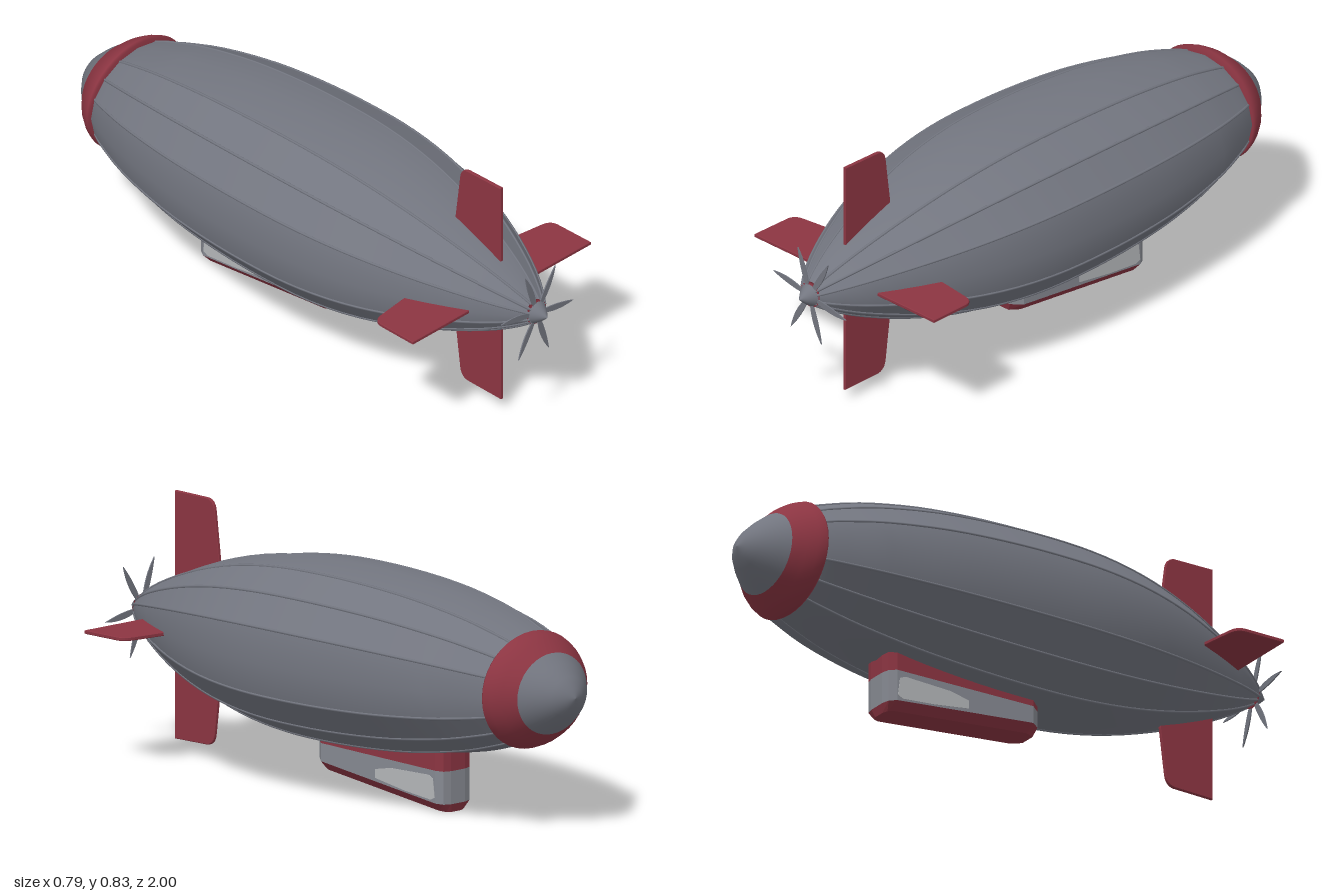
import * as THREE from 'three';
import { mergeGeometries } from 'three/addons/utils/BufferGeometryUtils.js';

const mat = (name, color, extra = {}) => {
  const m = new THREE.MeshStandardMaterial({ color, ...extra });
  m.name = name;
  return m;
};

export function createModel() {
  const grey = mat('hull grey', 0x737680);
  const red = mat('dark red', 0x8c3542);
  const cabinGrey = mat('cabin grey', 0x868991);
  const glass = mat('window light grey', 0xb4b6b9);

  const model = new THREE.Group();
  model.name = 'airship';
  const AXIS = 0.445, FLAT = 0.814; // axis height, height-to-width ratio of the hull

  const add = (name, geometry, material, parent = model) => {
    const m = new THREE.Mesh(geometry, material);
    m.name = name;
    parent.add(m);
    return m;
  };

  // Hull profile: z along the axis, half width
  const profile = new THREE.CatmullRomCurve3([
    [-0.85, 0.17], [-0.8, 0.205], [-0.7, 0.247], [-0.6, 0.28], [-0.4, 0.322], [-0.2, 0.343], [0, 0.35],
    [0.2, 0.342], [0.4, 0.308], [0.6, 0.243], [0.8, 0.147], [0.9, 0.083], [0.955, 0.038],
  ].map(([z, r]) => new THREE.Vector3(r, 0, z)));
  const STEPS = 36;
  const hullPoint = (t, a, grow = 0) => {
    const p = profile.getPoint(t);
    const r = p.x + grow;
    return new THREE.Vector3(Math.cos(a) * r, AXIS + Math.sin(a) * r * FLAT, p.z);
  };

  // Sixteen-sided hull: twelve seams, no seam on the top, bottom and side lines
  const step = Math.PI / 8;
  const seams = [];
  for (let k = 0; k < 16; k++) if (k % 4) seams.push(k);
  const panels = [], ribs = [];
  seams.forEach((k, i) => {
    const next = i + 1 < seams.length ? seams[i + 1] : seams[0] + 16;
    const n = next - k;
    const pos = [], index = [];
    for (let s = 0; s <= STEPS; s++)
      for (let j = 0; j <= n; j++) pos.push(...hullPoint(s / STEPS, (k + j) * step).toArray());
    for (let s = 0; s < STEPS; s++)
      for (let j = 0; j < n; j++) {
        const a = s * (n + 1) + j, b = a + 1, c = a + n + 1, d = c + 1;
        index.push(a, b, d, a, d, c);
      }
    const g = new THREE.BufferGeometry();
    g.setAttribute('position', new THREE.Float32BufferAttribute(pos, 3));
    g.setIndex(index);
    g.computeVertexNormals();
    panels.push(g);
    const line = [];
    for (let s = 0; s <= 18; s++) line.push(hullPoint(s / 18, k * step, -0.001));
    ribs.push(new THREE.TubeGeometry(new THREE.CatmullRomCurve3(line), STEPS, 0.005, 6));
  });
  add('hull', mergeGeometries(panels), grey);
  add('hullRibs', mergeGeometries(ribs), grey);

  // Turned parts on the long axis; dir -1 points to the nose, 1 to the tail
  const turned = (points, dir, flat) => {
    const g = new THREE.LatheGeometry(points.map(([r, y]) => new THREE.Vector2(r, y)), 40);
    g.rotateX(dir * Math.PI / 2);
    g.scale(1, flat, 1);
    g.translate(0, AXIS, 0);
    return g;
  };
  add('noseBand', turned([[0.18, 0.796], [0.211, 0.797], [0.217, 0.805], [0.206, 0.83],
    [0.186, 0.858], [0.15, 0.893]], -1, 0.86), red);
  add('noseCap', turned([[0.15, 0.893], [0.116, 0.93], [0.075, 0.966], [0.037, 0.99], [0, 1]], -1, 0.86), grey);
  add('propellerRing', turned([[0, 0.942], [0.041, 0.943], [0.041, 0.953], [0, 0.954]], 1, 1), red);
  add('spinner', turned([[0.037, 0.95], [0.036, 0.957], [0.018, 0.981], [0, 1]], 1, 1), grey);

  // Four tail fins
  const finShape = new THREE.Shape();
  finShape.moveTo(0.6, 0.08);
  finShape.lineTo(0.603, 0.2);
  finShape.lineTo(0.623, 0.355);
  finShape.quadraticCurveTo(0.627, 0.388, 0.655, 0.391);
  finShape.lineTo(0.798, 0.393);
  finShape.lineTo(0.798, 0.08);
  const finGeo = new THREE.ExtrudeGeometry(finShape, {
    depth: 0.008, bevelThickness: 0.002, bevelSize: 0.002, bevelSegments: 1, curveSegments: 6,
  });
  finGeo.translate(0, 0, -0.004);
  finGeo.rotateY(-Math.PI / 2);
  ['topFin', 'rightFin', 'bottomFin', 'leftFin'].forEach((name, i) => {
    const f = add(name, finGeo, red);
    f.position.y = AXIS - 0.002;
    f.rotation.z = i * Math.PI / 2;
  });

  // Propeller: six curved leaf blades
  const blade = new THREE.Shape();
  blade.moveTo(0.02, -0.004);
  blade.quadraticCurveTo(0.09, -0.022, 0.162, 0.002);
  blade.quadraticCurveTo(0.09, 0.014, 0.02, 0.005);
  const bladeGeo = new THREE.ExtrudeGeometry(blade, { depth: 0.004, bevelEnabled: false, curveSegments: 8 });
  const propeller = new THREE.Group();
  propeller.name = 'propeller';
  propeller.position.set(0, AXIS - 0.003, 0.951);
  model.add(propeller);
  [59, 108, 169, 239, 288, 350].forEach((deg) => {
    add('propellerBlade', bladeGeo, grey, propeller).rotation.z = THREE.MathUtils.degToRad(deg);
  });

  // Gondola: stacked rings over one plan outline, with a sloping keel
  const half = [[0.042, 0.11], [0.07, 0.075], [0.07, -0.44], [0.056, -0.463], [0.03, -0.47]];
  const plan = [...half, ...half.map(([x, z]) => [-x, z]).reverse()];
  const keel = (z) => 0.005 + (z + 0.47) * 0.112;
  const ring = (height, sx = 1, sz = 1) => plan.map(([x, z]) => {
    const zz = (z + 0.18) * sz - 0.18;
    return [x * sx, height(zz), zz];
  });
  const loft = (lower, upper, closeBottom) => {
    const pos = [];
    lower.forEach((a, i) => {
      const j = (i + 1) % lower.length;
      const b = lower[j], c = upper[j], d = upper[i];
      pos.push(...a, ...b, ...c, ...a, ...c, ...d);
      if (closeBottom) pos.push(0, keel(-0.18), -0.18, ...b, ...a);
    });
    const g = new THREE.BufferGeometry();
    g.setAttribute('position', new THREE.Float32BufferAttribute(pos, 3));
    g.computeVertexNormals();
    return g;
  };
  const r0 = ring(keel, 0.66, 0.97);
  const r1 = ring((z) => keel(z) + 0.028);
  const r2 = ring((z) => 0.152 - Math.max(0, -z - 0.3) * 0.08);
  const r3 = ring(() => 0.25);
  const gondola = new THREE.Group();
  gondola.name = 'gondola';
  model.add(gondola);
  add('gondolaKeel', loft(r0, r1, true), red, gondola);
  add('gondolaCabin', loft(r1, r2), cabinGrey, gondola);
  add('gondolaTop', loft(r2, r3), red, gondola);

  // Side windows
  const pane = new THREE.Shape([[0.17, 0.078], [0.3, 0.058], [0.42, 0.046], [0.438, 0.055], [0.43, 0.115],
    [0.41, 0.124], [0.24, 0.12], [0.17, 0.106]].map(([x, y]) => new THREE.Vector2(x, y)));
  const paneGeo = new THREE.ExtrudeGeometry(pane, { depth: 0.004, bevelEnabled: false });
  paneGeo.rotateY(Math.PI / 2);
  add('leftWindow', paneGeo, glass, gondola).position.x = 0.0675;
  add('rightWindow', paneGeo, glass, gondola).position.x = -0.0715;

  return model;
}
